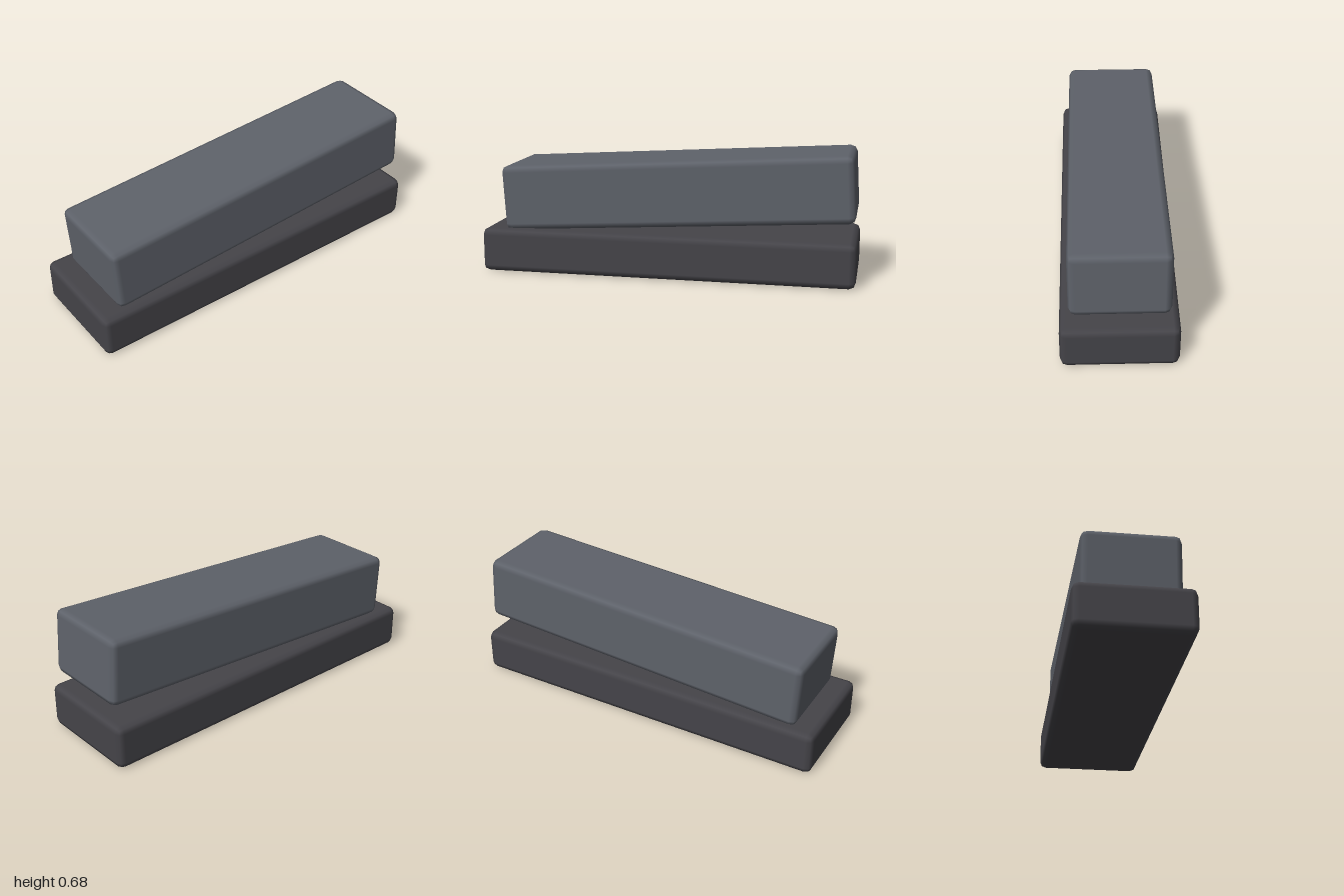
import * as THREE from 'three';
import { RoundedBoxGeometry } from 'three/addons/geometries/RoundedBoxGeometry.js';

const RADIUS = 0.035;

export function createModel() {
  const model = new THREE.Group();
  model.name = 'pedal';

  const baseGrey = new THREE.MeshStandardMaterial({ color: 0x454449 });
  baseGrey.name = 'dark grey';
  const treadleGrey = new THREE.MeshStandardMaterial({ color: 0x5e626a });
  treadleGrey.name = 'slate grey';

  // block with softly bevelled edges
  const addBlock = (name, material, width, height, depth, y, z) => {
    const geometry = new RoundedBoxGeometry(width, height, depth, 1, RADIUS);
    const mesh = new THREE.Mesh(geometry, material);
    mesh.name = name;
    mesh.position.set(0, y, z);
    model.add(mesh);
    return mesh;
  };

  // flat base on the ground
  addBlock('base', baseGrey, 0.588, 0.235, 2, 0.1175, 0);

  // upper block, its front edge sunk into the base and its back end raised
  const treadle = addBlock('treadle', treadleGrey, 0.494, 0.35, 1.877, 0.45, -0.045);
  treadle.rotation.x = 0.0593;

  return model;
}
